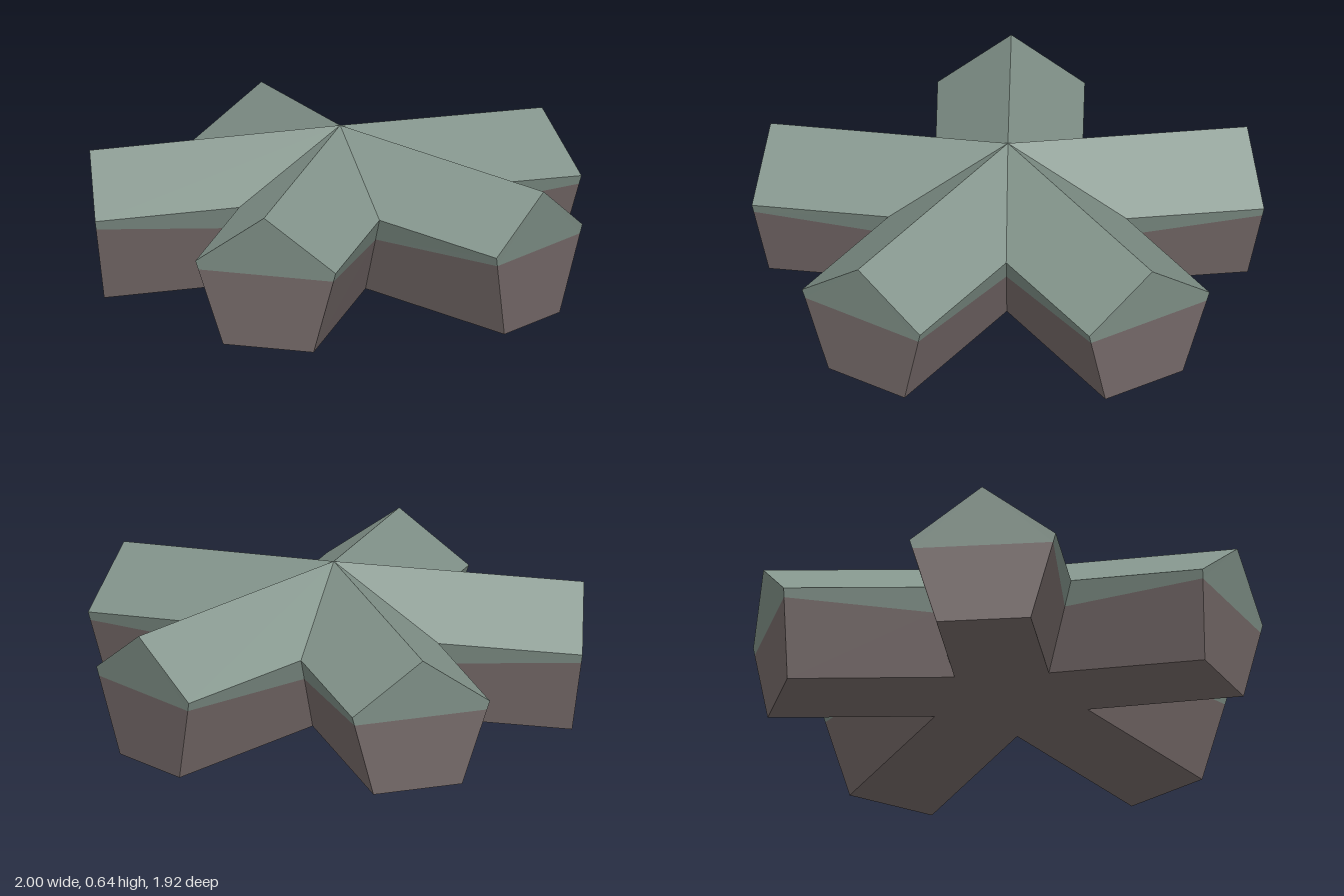
import * as THREE from 'three';

const ARMS = 5;
const HALF = Math.PI / ARMS;
const TOP_W = 0.287, BASE_W = 0.185; // half widths at shoulder and foot
const SPLIT = 0.305; // height of the colour change

// Flat-shaded geometry from convex polygons, corners counter-clockwise
function fromPolygons(polygons) {
  const points = [];
  for (const p of polygons)
    for (let i = 1; i < p.length - 1; i++) points.push(p[0], p[i], p[i + 1]);
  const geometry = new THREE.BufferGeometry().setFromPoints(points);
  geometry.computeVertexNormals();
  return geometry;
}

const v = (x, y, z) => new THREE.Vector3(x, y, z);
const flip = (p) => p.map((q) => v(-q.x, q.y, q.z)).reverse();
const atHeight = (a, b, y) => a.clone().lerp(b, (y - a.y) / (b.y - a.y));

export function createModel() {
  const model = new THREE.Group();
  model.name = 'fiveArmedStar';
  const green = new THREE.MeshStandardMaterial({ color: 0x82938a, flatShading: true });
  green.name = 'grey green';
  const brown = new THREE.MeshStandardMaterial({ color: 0x7a6e6d, flatShading: true });
  brown.name = 'grey brown';

  // One arm points along +z; its inner end meets its neighbours at the valleys
  const apex = v(0, 0.645, 0);
  const ridge = v(0, 0.545, 0.977);
  const shoulder = v(TOP_W, 0.34, 0.957);
  const foot = v(BASE_W, 0, 0.921);
  const valley = v(TOP_W, 0.397, TOP_W / Math.tan(HALF));
  const valleyFoot = v(BASE_W, 0.07, BASE_W / Math.tan(HALF));
  const underCentre = v(0, 0.097, 0);
  const tipMid = atHeight(foot, shoulder, SPLIT);
  const valleyMid = atHeight(valleyFoot, valley, SPLIT);
  const mirror = (q) => v(-q.x, q.y, q.z);

  // Roof slopes, upper wall bands and upper tip
  const roof = [apex, ridge, shoulder, valley];
  const band = [valley, shoulder, tipMid, valleyMid];
  const crown = fromPolygons([
    roof, flip(roof), band, flip(band),
    [ridge, mirror(shoulder), mirror(tipMid), tipMid, shoulder],
  ]);

  // Lower walls, lower tip and underside
  const wall = [valleyMid, tipMid, foot, valleyFoot];
  const base = fromPolygons([
    wall, flip(wall),
    [mirror(tipMid), mirror(foot), foot, tipMid],
    [underCentre, valleyFoot, foot, mirror(foot), mirror(valleyFoot)],
  ]);

  // Five equal arms, the first pointing straight back
  for (let i = 0; i < ARMS; i++) {
    const arm = new THREE.Group();
    arm.name = `arm${i + 1}`;
    const top = new THREE.Mesh(crown, green);
    top.name = 'armCrown';
    const bottom = new THREE.Mesh(base, brown);
    bottom.name = 'armBase';
    arm.add(top, bottom);
    arm.rotation.y = Math.PI + i * 2 * HALF;
    arm.position.z = 0.016;
    model.add(arm);
  }
  return model;
}
